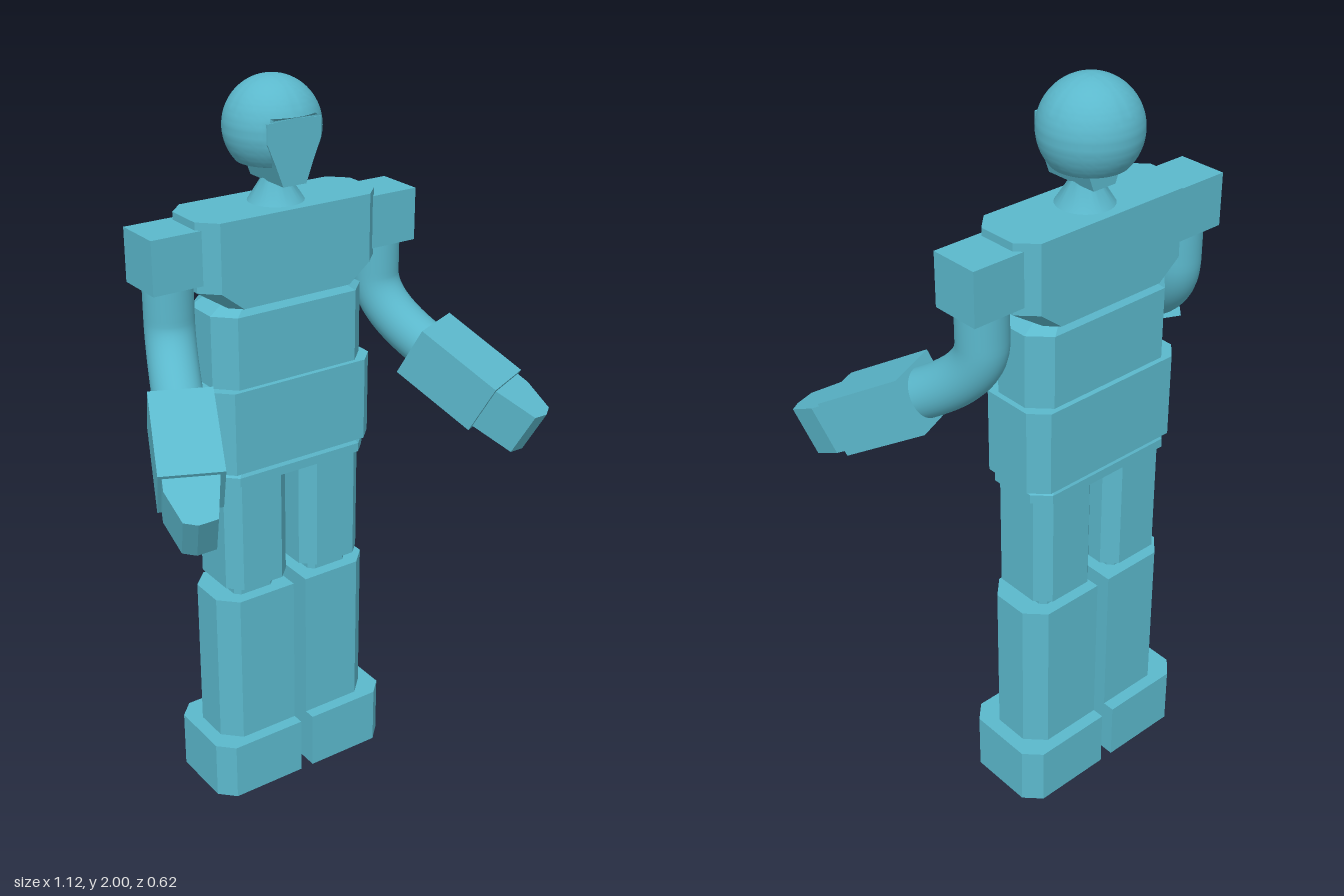
import * as THREE from 'three';
import { ConvexGeometry } from 'three/addons/geometries/ConvexGeometry.js';
import { toCreasedNormals } from 'three/addons/utils/BufferGeometryUtils.js';

const CZ = -0.175; // depth of the body axis

export function createModel() {
  const model = new THREE.Group();
  model.name = 'toyFigure';
  const body = new THREE.MeshStandardMaterial({ color: 0x5bb8cc });
  const flat = body.clone();
  flat.flatShading = true;

  function add(name, geometry, parent = model, material = flat) {
    const mesh = new THREE.Mesh(geometry, material);
    mesh.name = name;
    parent.add(mesh);
    return mesh;
  }

  // Plan outline from x0 to x1 with chamfer c0 at x0 and c1 at x1
  function outline(x0, x1, hz, c0, c1) {
    const pts = [];
    for (const z of [-1, 1]) {
      for (const [x, c, dir] of [[x0, c0, 1], [x1, c1, -1]]) {
        pts.push([x, z * (hz - c)]);
        if (c > 0) pts.push([x + dir * c * Math.sign(x1 - x0), z * hz]);
      }
    }
    return pts;
  }

  // Chamfered block through stacked sections [y, x0, x1, halfDepth, c0, c1]
  function block(name, sections, parent = model) {
    const pts = [];
    for (const [y, ...plan] of sections) {
      for (const [x, z] of outline(...plan)) pts.push(new THREE.Vector3(x, y, CZ + z));
    }
    return add(name, new ConvexGeometry(pts), parent);
  }

  // Symmetric torso section
  const sym = (y, w, d, c) => [y, -w, w, d, c, c];

  block('chest', [sym(1.46, 0.19, 0.098, 0.03), sym(1.51, 0.268, 0.098, 0.045), sym(1.69, 0.268, 0.098, 0.045)]);
  block('abdomen', [sym(1.24, 0.23, 0.098, 0.05), sym(1.44, 0.23, 0.098, 0.05), sym(1.465, 0.19, 0.08, 0.04)]);
  block('waist', [sym(1.015, 0.245, 0.112, 0.042), sym(1.245, 0.245, 0.112, 0.042)]);
  block('pelvis', [sym(0.975, 0.23, 0.106, 0.04), sym(1.0, 0.23, 0.106, 0.04), sym(1.02, 0.21, 0.095, 0.035)]);

  // Neck: short cone rising into the head
  const neckProfile = [[0, 1.68], [0.073, 1.69], [0.036, 1.748], [0.03, 1.8], [0, 1.8]]
    .map(([r, y]) => new THREE.Vector2(r, y));
  const neck = toCreasedNormals(new THREE.LatheGeometry(neckProfile, 32), 0.6);
  add('neck', neck, model, body).position.z = CZ;

  // Head: sphere cut flat underneath and cut back below the brow
  const headGeo = new THREE.SphereGeometry(0.125, 72, 56);
  const p = headGeo.attributes.position;
  for (let i = 0; i < p.count; i++) {
    if (p.getY(i) < 0.036) p.setZ(i, Math.min(p.getZ(i), 0.098));
    p.setY(i, Math.max(p.getY(i), -0.085));
  }
  const head = add('head', toCreasedNormals(headGeo, 0.5), model, body);
  head.position.set(0, 1.875, -0.188);

  // Face: plate narrowing to the chin
  const face = new THREE.Shape([
    [-0.034, 1.745], [0.034, 1.745], [0.055, 1.80], [0.078, 1.855],
    [0.078, 1.905], [0, 1.91], [-0.078, 1.905], [-0.078, 1.855], [-0.055, 1.80],
  ].map(([x, y]) => new THREE.Vector2(x, y)));
  const faceGeo = new THREE.ExtrudeGeometry(face, { depth: 0.15, bevelEnabled: false });
  add('face', faceGeo).position.z = -0.238;

  for (const s of [-1, 1]) {
    const side = s > 0 ? 'left' : 'right';

    // Leg: inner edge first, outer edge second
    const leg = new THREE.Group();
    leg.name = side + 'Leg';
    model.add(leg);
    const part = (name, y0, y1, xi, xo, hz, ci, co) =>
      block(name, [y0, y1].map((y) => [y, s * xi, s * xo, hz, ci, co]), leg);
    part('foot', 0, 0.17, 0.02, 0.283, 0.132, 0, 0.042);
    part('shin', 0.17, 0.62, 0.02, 0.243, 0.098, 0, 0.048);
    part('knee', 0.6, 0.67, 0.06, 0.185, 0.064, 0.015, 0.015);
    part('thigh', 0.655, 0.98, 0.022, 0.217, 0.098, 0.036, 0.036);

    // Shoulder block and bent upper arm
    const arm = new THREE.Group();
    arm.name = side + 'Arm';
    model.add(arm);
    add('shoulder', new THREE.BoxGeometry(0.16, 0.14, 0.136), arm).position.set(s * 0.315, 1.6, -0.178);
    const bend = new THREE.CurvePath();
    const top = new THREE.Vector3(s * 0.318, 1.56, -0.178);
    const start = new THREE.Vector3(s * 0.318, 1.44, -0.178);
    const elbow = new THREE.Vector3(s * 0.318, 1.345, -0.178);
    const wrist = new THREE.Vector3(s * 0.383, 1.258, -0.025);
    bend.add(new THREE.LineCurve3(top, start));
    bend.add(new THREE.QuadraticBezierCurve3(start, elbow, wrist));
    add('upperArm', new THREE.TubeGeometry(bend, 24, 0.064, 32), arm, body);

    // Forearm and hand share a frame pointing forward, down and outward
    const lower = new THREE.Group();
    lower.name = 'lowerArm';
    lower.position.set(s * 0.423, 1.204, 0.065);
    lower.lookAt(lower.position.clone().add(new THREE.Vector3(s * 0.36, -0.48, 0.8)));
    arm.add(lower);
    add('forearm', new THREE.BoxGeometry(0.16, 0.15, 0.25), lower);
    const handPlan = [[0.07, -0.02], [0.07, 0.035], [0.035, 0.125], [0, 0.135], [-0.048, 0.122], [-0.07, -0.02]];
    const handPts = [];
    for (const y of [-0.065, 0.065]) {
      for (const [x, z] of handPlan) handPts.push(new THREE.Vector3(s * x, y, z + 0.125));
    }
    add('hand', new ConvexGeometry(handPts), lower);
  }

  model.children.forEach((c) => { c.position.x -= 0.004; });
  return model;
}
